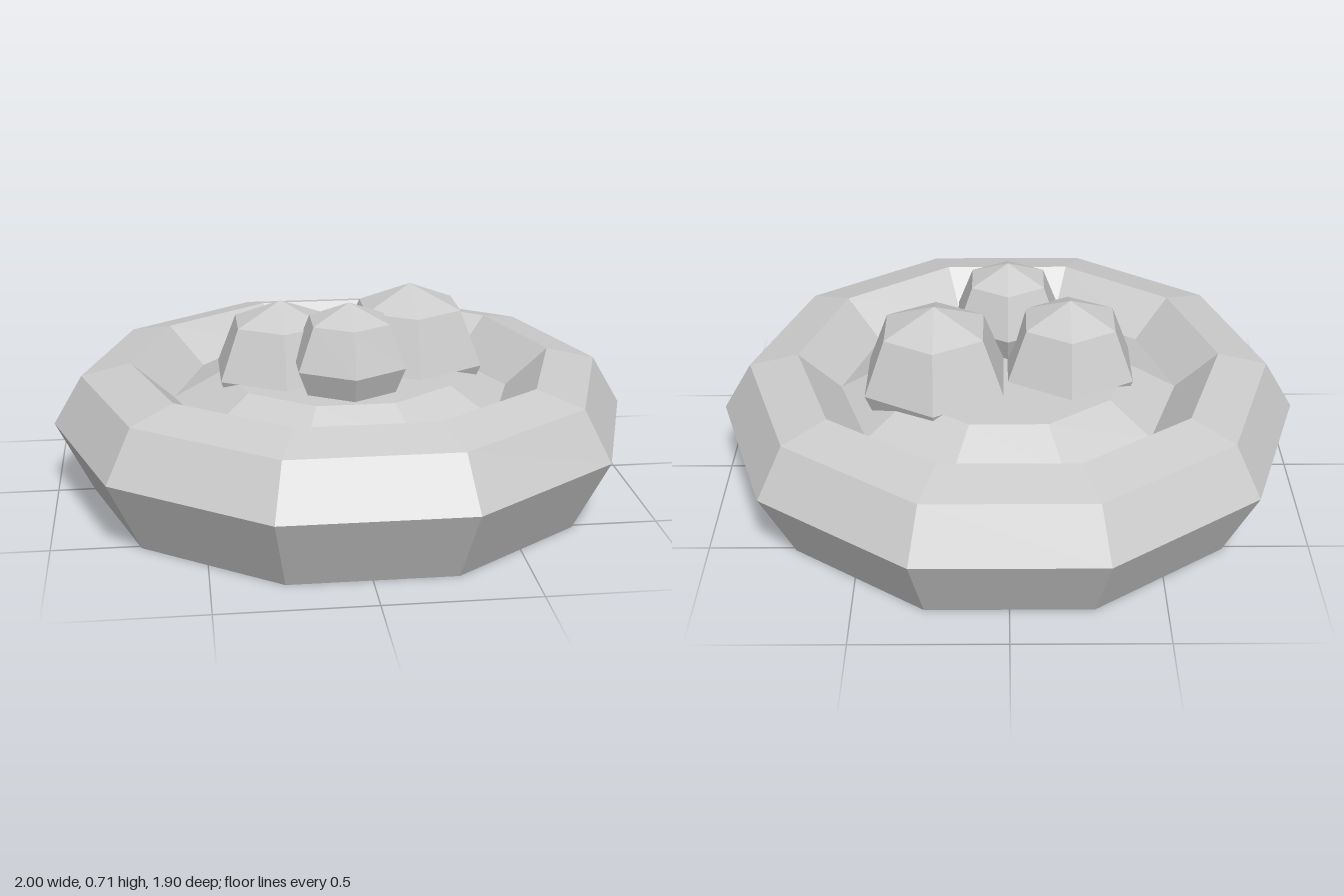
import * as THREE from 'three';

export function createModel() {
  const model = new THREE.Group();
  model.name = 'nestWithEggs';

  const grey = new THREE.MeshStandardMaterial({ color: 0xcccccc, flatShading: true });
  grey.name = 'light grey';

  // Ten-sided nest: flared wall, rounded rim, inner trough and raised middle
  const profile = [
    [0, 0], [0.875, 0], [1, 0.25], [0.9, 0.42], [0.73, 0.46],
    [0.585, 0.33], [0.42, 0.42], [0, 0.42],
  ].map(([r, y]) => new THREE.Vector2(r, y));
  const nest = new THREE.Mesh(new THREE.LatheGeometry(profile, 10, Math.PI / 2), grey);
  nest.name = 'nest';
  model.add(nest);

  // Three low-poly eggs: radius, then centre
  const eggs = [
    ['frontEgg', 0.205, 0, 0.505, 0.205],
    ['rightEgg', 0.247, -0.212, 0.42, 0],
    ['leftEgg', 0.27, 0.25, 0.42, -0.087],
  ];
  for (const [name, radius, x, y, z] of eggs) {
    const egg = new THREE.Mesh(new THREE.SphereGeometry(radius, 6, 4, Math.PI / 2), grey);
    egg.name = name;
    egg.position.set(x, y, z);
    model.add(egg);
  }

  return model;
}
